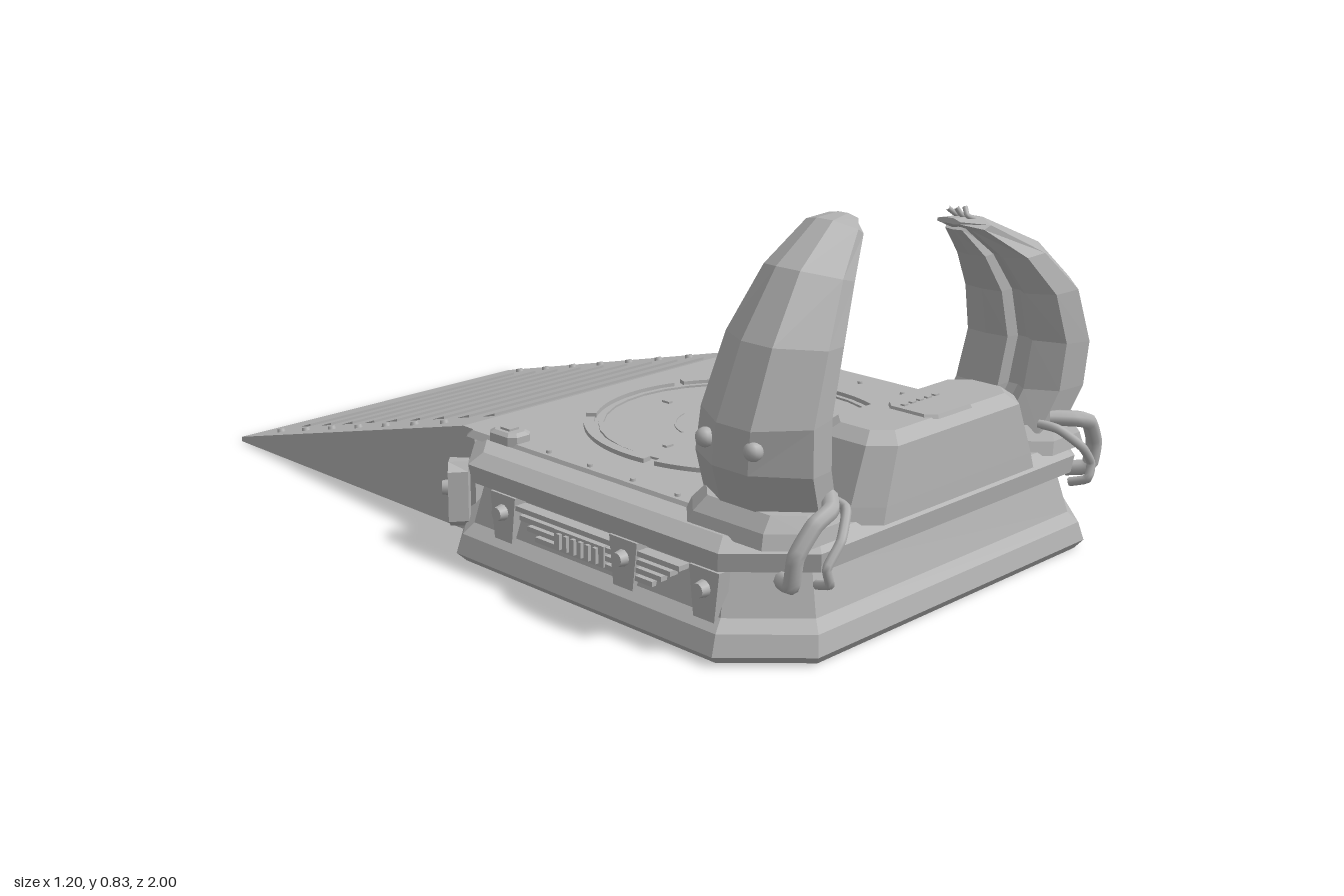
import * as THREE from 'three';

const metal = new THREE.MeshStandardMaterial({ color: 0xb2b2b2 });
metal.name = 'grey metal';

function add(parent, name, geo, x = 0, y = 0, z = 0) {
  const m = new THREE.Mesh(geo, metal);
  m.name = name;
  m.position.set(x, y, z);
  parent.add(m);
  return m;
}

// Joins rings of [x, y, z] points into a closed, faceted solid facing outwards
function loft(rings) {
  const n = rings[0].length, tris = [];
  for (let r = 0; r < rings.length - 1; r++) {
    for (let i = 0; i < n; i++) {
      const j = (i + 1) % n, a = rings[r], b = rings[r + 1];
      tris.push([a[i], a[j], b[j]], [a[i], b[j], b[i]]);
    }
  }
  const cap = (ring, flip) => {
    const c = [0, 1, 2].map(k => ring.reduce((s, p) => s + p[k], 0) / n);
    ring.forEach((p, i) => {
      const q = ring[(i + 1) % n];
      tris.push(flip ? [c, q, p] : [c, p, q]);
    });
  };
  cap(rings[0], true);
  cap(rings[rings.length - 1], false);
  const volume = tris.reduce((s, [a, b, c]) => s + a[0] * (b[1] * c[2] - b[2] * c[1])
    + a[1] * (b[2] * c[0] - b[0] * c[2]) + a[2] * (b[0] * c[1] - b[1] * c[0]), 0);
  const data = tris.flatMap(t => (volume < 0 ? [t[0], t[2], t[1]] : t)).flat();
  const g = new THREE.BufferGeometry();
  g.setAttribute('position', new THREE.Float32BufferAttribute(data, 3));
  g.computeVertexNormals();
  return g;
}

// Rectangle with cut corners at height y
const oct = (y, x0, x1, z0, z1, c) => [
  [x0 + c, y, z0], [x1 - c, y, z0], [x1, y, z0 + c], [x1, y, z1 - c],
  [x1 - c, y, z1], [x0 + c, y, z1], [x0, y, z1 - c], [x0, y, z0 + c]];
const octSym = (y, h, z0, z1, c) => oct(y, -h, h, z0, z1, c);

// Flat ring sector lying on the deck
function arcPlate(r0, r1, a0, a1, h) {
  const s = new THREE.Shape();
  s.absarc(0, 0, r1, a0, a1, false);
  s.absarc(0, 0, r0, a1, a0, true);
  return new THREE.ExtrudeGeometry(s, { depth: h, bevelEnabled: false, curveSegments: 16 }).rotateX(-Math.PI / 2);
}

const tube = (pts, r) => new THREE.TubeGeometry(
  new THREE.CatmullRomCurve3(pts.map(p => new THREE.Vector3(...p)), false, 'catmullrom', 0.25), 24, r, 8);

// Stations: outer x, outer y, inner x, inner y, back z, front z
const tallHorn = [
  [.49, .28, .31, .28, .65, .93], [.54, .38, .35, .37, .67, .95], [.545, .47, .36, .48, .69, .955],
  [.485, .62, .325, .61, .705, .945], [.39, .75, .265, .715, .725, .91], [.26, .825, .195, .79, .735, .86],
  [.185, .826, .18, .81, .745, .82]];
const brokenHorn = [...tallHorn.slice(0, 3),
  [.50, .60, .325, .59, .705, .945], [.40, .69, .265, .675, .725, .91], [.24, .762, .20, .738, .74, .85],
  [.17, .765, .168, .752, .75, .81]];
const hornSection = [[0, .35], [0, .68], [.45, 1], [.82, .95], [1, .7], [.9, .6], [.9, .36], [1, .25], [.8, 0], [.3, 0]];
const linerSection = [[.78, .06], [.78, .52], [1.09, .5], [1.13, .3], [1.09, .1]];

function sweep(stations, section, side) {
  return loft(stations.map(([ox, oy, ix, iy, z0, z1]) => section.map(([u, w]) =>
    [side * (ox + (ix - ox) * u), oy + (iy - oy) * u, z0 + (z1 - z0) * w])));
}

function ramp() {
  const g = new THREE.Group();
  g.name = 'ramp';
  const slope = (0.25 - 0.012) / 0.92, top = z => 0.012 + (z + 1) * slope;
  add(g, 'rampWedge', loft([-1, 1].map(s => [
    [s * .46, 0, -1], [s * .46, .012, -1], [s * .46, .25, -.08], [s * .46, .25, -.04], [s * .46, 0, -.04]])));
  // Anti-slip treads with a small step on the uphill side
  for (let i = 0; i < 9; i++) {
    const z = -.92 + i * .093;
    add(g, 'tread', loft([-.35, .35].map(x => [
      [x, top(z) - .004, z], [x, top(z + .075) + .006, z + .075], [x, top(z + .075) - .004, z + .075]])));
  }
  // Rivets along both edges
  for (const s of [-1, 1]) for (let i = 0; i < 7; i++) {
    const z = -.89 + i * .113;
    const r = add(g, 'rampRivet', new THREE.CylinderGeometry(.009, .011, .01, 8), s * .41, top(z) + .003, z);
    r.rotation.x = -Math.atan(slope);
  }
  return g;
}

function deck() {
  const g = new THREE.Group();
  g.name = 'deck';
  add(g, 'deckPlate', loft([octSym(.235, .475, -.08, .68, .03), octSym(.25, .465, -.07, .67, .03)]));
  const pad = new THREE.Group();
  pad.name = 'circularPad';
  pad.position.set(0, .248, .35);
  g.add(pad);
  for (let i = 0; i < 6; i++) {
    const a = i * Math.PI / 3 + .2;
    add(pad, 'outerRing', arcPlate(.333, .357, a, a + .97, .012));
  }
  add(pad, 'innerRing', arcPlate(.312, .324, 0, Math.PI * 1.999, .007));
  for (let i = 0; i < 4; i++) {
    const a = i * Math.PI / 2 + .25;
    add(pad, 'centreArc', arcPlate(.147, .152, a, a + 1, .005));
    const m = add(pad, 'padMark', new THREE.BoxGeometry(.022, .006, .012), .235 * Math.cos(a - .25), .004, .235 * Math.sin(a - .25));
    m.rotation.y = -a + .25;
  }
  for (const s of [-1, 1]) {
    add(g, 'deckLatch', loft([oct(.245, s * .445 - .033, s * .445 + .033, .02, .11, .015),
      oct(.265, s * .445 - .033, s * .445 + .033, .02, .11, .015),
      oct(.272, s * .445 - .024, s * .445 + .024, .03, .1, .012)]));
    add(g, 'latchButton', new THREE.BoxGeometry(.028, .008, .03), s * .445, .273, .065);
    for (let i = 0; i < 4; i++) add(g, 'deckRivet', new THREE.CylinderGeometry(.006, .007, .008, 8), s * .45, .252, .2 + i * .13);
  }
  return g;
}

function console_() {
  const g = new THREE.Group();
  g.name = 'console';
  add(g, 'consoleBody', loft([octSym(.235, .305, .73, .965, .05), octSym(.27, .295, .735, .963, .05),
    octSym(.385, .25, .755, .955, .045), octSym(.408, .22, .785, .93, .035)]));
  add(g, 'consolePanel', loft([octSym(.405, .077, .81, .94, .02), octSym(.414, .074, .813, .937, .02)]));
  for (let i = 0; i < 5; i++) add(g, 'panelKey', new THREE.BoxGeometry(.014, .005, .01), (i - 2) * .026, .415, .85);
  // Row of connectors along the rear
  add(g, 'connectorRail', new THREE.BoxGeometry(.5, .02, .03), 0, .285, .73);
  for (let i = 0; i < 8; i++) {
    const x = (i - 3.5) * .062;
    add(g, 'connector', new THREE.CylinderGeometry(.016, .016, .05, 10).rotateX(Math.PI / 2), x, .285, .72);
    add(g, 'connectorFoot', new THREE.BoxGeometry(.02, .035, .02), x, .262, .71);
  }
  return g;
}

function sidePanel(s) {
  const g = new THREE.Group();
  g.name = 'sidePanel';
  // Louvres get shorter towards the bottom
  for (let i = 0; i < 4; i++) add(g, 'louvre', new THREE.BoxGeometry(.03, .011, .5 - i * .05), s * .553, .158 - i * .018, .46);
  add(g, 'ventBlock', new THREE.BoxGeometry(.03, .045, .15), s * .558, .125, .425);
  for (let i = 0; i < 6; i++) add(g, 'ventFin', new THREE.BoxGeometry(.01, .034, .01), s * .576, .125, .37 + i * .022);
  for (const z of [.78, .555, .185]) {
    add(g, 'sideBracket', loft([-1, 1].map(k => [[-.028, .075], [.028, .075], [.04, .18], [-.04, .18]]
      .map(([dz, y]) => [s * (.555 + k * .016), y, z + dz]))));
    add(g, 'sideBolt', new THREE.CylinderGeometry(.015, .019, .025, 10).rotateZ(-s * Math.PI / 2), s * .578, .14, z);
  }
  // Rear corner clamp
  const c = new THREE.Group();
  c.name = 'cornerClamp';
  c.position.set(s * .535, 0, -.005);
  c.rotation.y = s * Math.PI / 4;
  g.add(c);
  add(c, 'clampPlate', loft([[-.022, .026], [.022, .034]].map(([x, w]) =>
    [[-w, .07], [0, .05], [w, .07], [w, .185], [w * .5, .205], [-w * .5, .205], [-w, .185]].map(([z, y]) => [s * x, y, z]))));
  add(c, 'clampBolt', new THREE.CylinderGeometry(.016, .018, .02, 10).rotateZ(-s * Math.PI / 2), s * .028, .14, 0);
  return g;
}

function horn(s, stations) {
  const g = new THREE.Group();
  g.name = s > 0 ? 'leftHorn' : 'rightHorn';
  const a = Math.min(s * .29, s * .53), b = Math.max(s * .29, s * .53);
  add(g, 'hornPedestal', loft([oct(.235, a, b, .63, .95, .06), oct(.265, a + .01, b - .01, .64, .945, .06),
    oct(.295, a + .035, b - .035, .665, .93, .05)]));
  add(g, 'hornShell', sweep(stations, hornSection, s));
  add(g, 'hornLiner', sweep(stations.slice(0, 6), linerSection, s));
  for (const z of [.745, .87]) add(g, 'hornBolt', new THREE.SphereGeometry(.02, 12, 8), s * .535, .43, z);
  // Cables at the foot of the horn
  for (let i = 0; i < 2; i++) add(g, 'hornCable', tube([
    [s * (.40 - i * .05), .25, .63 + i * .02], [s * (.37 - i * .04), .29, .65 + i * .02], [s * (.33 - i * .01), .30, .70],
    [s * .35, .31, .76]], .011));
  // Thick corner pipe and thin cable beside it
  add(g, 'cornerPipe', tube([[s * .48, .165, .90], [s * .505, .175, .945], [s * .505, .235, .955], [s * .465, .29, .965],
    [s * .42, .308, .965], [s * .37, .312, .92]], .018));
  add(g, 'cornerCable', tube([[s * .43, .155, .945], [s * .44, .17, .985], [s * .45, .205, .985], [s * .41, .25, .985],
    [s * .36, .295, .955], [s * .35, .30, .91]], .01));
  return g;
}

export function createModel() {
  const model = new THREE.Group();
  model.name = 'platform';
  // Stepped body: plinth, sloping skirt and overhanging lip
  add(model, 'platformBody', loft([
    octSym(0, .58, -.07, .96, .14), octSym(.02, .6, -.085, .975, .145), octSym(.062, .585, -.075, .965, .14),
    octSym(.085, .56, -.055, .945, .13), octSym(.175, .535, -.035, .92, .12), octSym(.18, .565, -.065, .95, .14),
    octSym(.22, .57, -.07, .955, .14), octSym(.242, .535, -.05, .925, .13)]));
  model.add(ramp(), deck(), console_());
  for (const s of [-1, 1]) model.add(sidePanel(s), horn(s, s > 0 ? brokenHorn : tallHorn));
  // Frayed wires at the broken tip
  for (let i = 0; i < 3; i++) add(model, 'tipWire', tube([[.23, .755, .78 + i * .015],
    [.20, .768, .775 + i * .015], [.175 + i * .015, .785, .77 + i * .012]], .006));
  return model;
}
